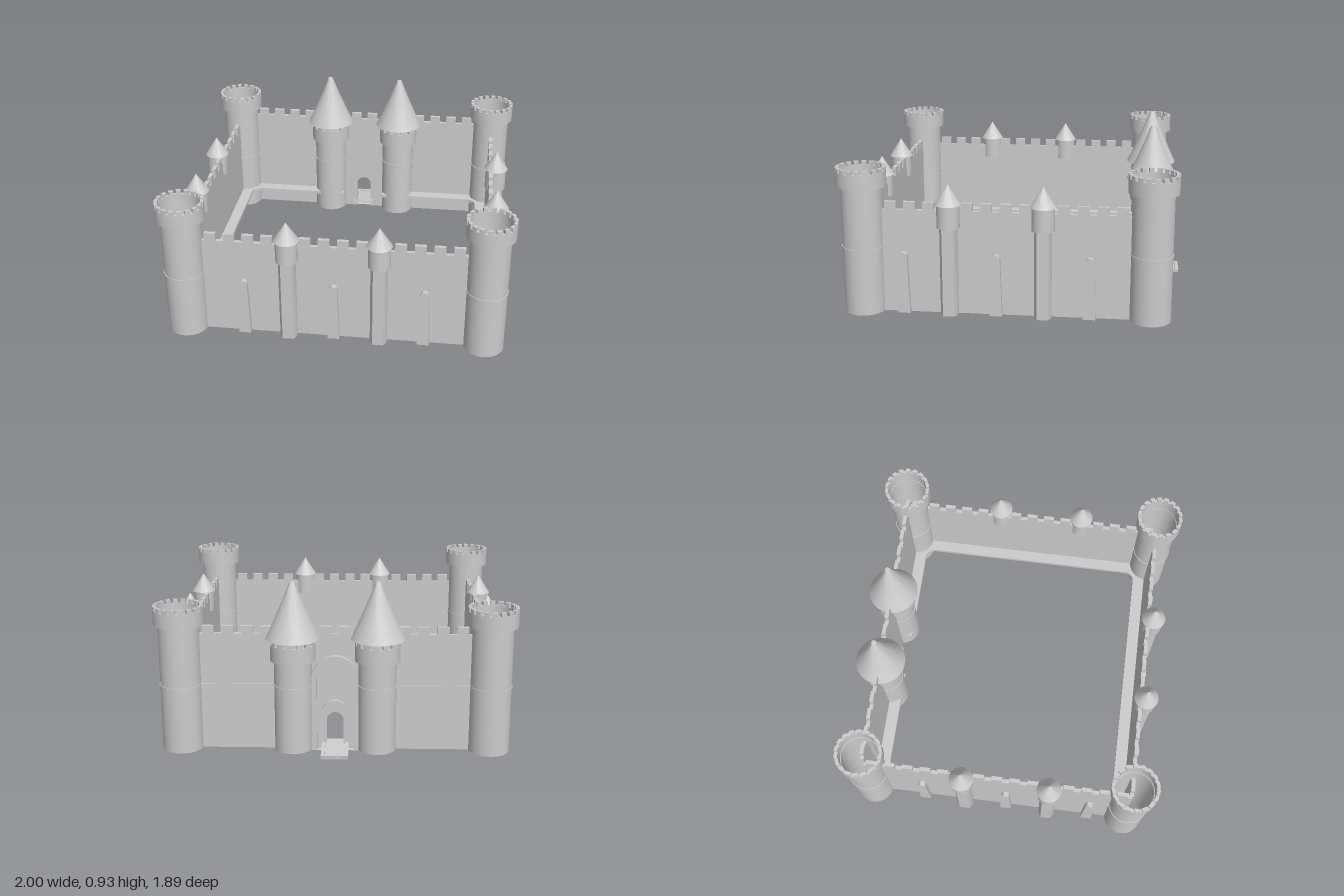
import * as THREE from 'three';
import { toCreasedNormals } from 'three/addons/utils/BufferGeometryUtils.js';

const material = new THREE.MeshStandardMaterial({ color: 0xcccccc, side: THREE.DoubleSide });
const HALF_W = 0.828, HALF_D = 0.768, THICK = 0.022;

function add(parent, name, geometry, x = 0, y = 0, z = 0) {
  const mesh = new THREE.Mesh(toCreasedNormals(geometry, 0.6), material);
  mesh.name = name;
  mesh.position.set(x, y, z);
  parent.add(mesh);
  return mesh;
}

const lathe = (points, seg = 40) =>
  new THREE.LatheGeometry(points.map(([r, y]) => new THREE.Vector2(r, y)), seg);

const extrude = (shape, depth) =>
  new THREE.ExtrudeGeometry(shape, { depth, bevelEnabled: false, curveSegments: 12 });

// Upright arch outline standing on y = 0
function arch(path, halfWidth, top, topHalf = halfWidth) {
  const spring = top - topHalf;
  path.moveTo(-halfWidth, 0);
  path.lineTo(halfWidth, 0);
  path.lineTo(topHalf, spring);
  path.absarc(0, spring, topHalf, 0, Math.PI, false);
  path.lineTo(-halfWidth, 0);
  return path;
}

function archFrame(outer, outerTop, inner, innerTop, depth) {
  const shape = arch(new THREE.Shape(), outer, outerTop);
  shape.holes.push(arch(new THREE.Path(), inner, innerTop));
  return extrude(shape, depth);
}

// Crenellated wall slab, centred on its thickness
function wallGeometry(half, low, high, door) {
  const count = Math.round((2 * half) / 0.105);
  const step = (2 * half) / count;
  const shape = new THREE.Shape();
  shape.moveTo(-half, 0);
  if (door) {
    shape.lineTo(-0.045, 0);
    shape.lineTo(-0.045, 0.17);
    shape.absarc(0, 0.17, 0.045, Math.PI, 0, true);
    shape.lineTo(0.045, 0);
  }
  shape.lineTo(half, 0);
  for (let i = 0; i < count; i++) {
    const x = half - i * step;
    shape.lineTo(x, low);
    shape.lineTo(x - step * 0.2, low);
    shape.lineTo(x - step * 0.2, high);
    shape.lineTo(x - step * 0.8, high);
    shape.lineTo(x - step * 0.8, low);
  }
  shape.lineTo(-half, low);
  return extrude(shape, THICK).translate(0, 0, -THICK / 2);
}

// Overhanging ring topped with merlons
function crown(parent, inner, outer, bottom, rim, top, count) {
  add(parent, 'crown', lathe([[inner, bottom], [outer, bottom], [outer, rim], [inner, rim], [inner, bottom]]));
  for (let i = 0; i < count; i++) {
    const a = (i / count) * Math.PI * 2, b = a + (Math.PI * 2 / count) * 0.62;
    const shape = new THREE.Shape();
    shape.absarc(0, 0, outer, a, b, false);
    shape.absarc(0, 0, inner, b, a, true);
    add(parent, 'merlon', extrude(shape, top - rim).rotateX(-Math.PI / 2), 0, rim, 0);
  }
}

function cornerTower(x, z) {
  const tower = new THREE.Group();
  tower.name = 'cornerTower';
  tower.position.set(x, 0, z);
  add(tower, 'towerBody', lathe([[0.11, 0], [0.11, 0.7]]));
  add(tower, 'towerBand', lathe([[0.11, 0.358], [0.114, 0.358], [0.114, 0.366], [0.11, 0.366]]));
  crown(tower, 0.114, 0.133, 0.695, 0.775, 0.797, 18);
  add(tower, 'crownUnderside', new THREE.RingGeometry(0.109, 0.116, 40).rotateX(Math.PI / 2), 0, 0.695, 0);
  return tower;
}

function gateTower(x) {
  const tower = new THREE.Group();
  tower.name = 'gateTower';
  tower.position.x = x;
  add(tower, 'gateTowerBody', lathe([[0.102, 0], [0.102, 0.52]]));
  add(tower, 'gateTowerBand', lathe([[0.102, 0.358], [0.106, 0.358], [0.106, 0.366], [0.102, 0.366]]));
  crown(tower, 0.102, 0.121, 0.5, 0.59, 0.625, 14);
  add(tower, 'gateTowerRoof',
    lathe([[0, 0.62], [0.145, 0.62], [0.107, 0.7], [0.055, 0.82], [0.014, 0.925], [0, 0.928]]));
  return tower;
}

// Half-engaged turret: bevelled shaft, drum and pointed roof
function turret(x) {
  const group = new THREE.Group();
  group.name = 'turret';
  group.position.set(x, 0, 0.03);
  const section = new THREE.Shape();
  section.moveTo(-0.046, -0.03);
  section.lineTo(0.046, -0.03);
  section.lineTo(0.046, 0.012);
  section.lineTo(0.03, 0.04);
  section.lineTo(-0.03, 0.04);
  section.lineTo(-0.046, 0.012);
  add(group, 'turretShaft', extrude(section, 0.49).rotateX(Math.PI / 2), 0, 0.49, 0);
  add(group, 'turretDrum', new THREE.CylinderGeometry(0.061, 0.061, 0.13, 32), 0, 0.55, 0);
  add(group, 'turretRoof', lathe([[0, 0.61], [0.07, 0.61], [0.035, 0.665], [0, 0.72]], 32));
  return group;
}

// One wall facing local +z, with its turrets and buttresses
function wallSide(name, angle, distance, half, shift) {
  const side = new THREE.Group();
  side.name = name;
  side.rotation.y = angle;
  const face = new THREE.Group();
  face.name = name + 'Face';
  face.position.z = distance;
  side.add(face);
  add(face, 'wall', wallGeometry(half, 0.568, 0.612, false));
  for (const s of [-1, 1]) face.add(turret(shift + s * 0.25));
  for (const s of [-1, 0, 1]) {
    add(face, 'buttress', extrude(arch(new THREE.Shape(), 0.033, 0.34, 0.022), 0.035), shift + s * 0.497, 0, 0.005);
  }
  return side;
}

// Rear wall with the gatehouse, facing local +z
function gateSide() {
  const side = new THREE.Group();
  side.name = 'gateSide';
  side.rotation.y = Math.PI;
  const face = new THREE.Group();
  face.name = 'gatehouse';
  face.position.z = HALF_D;
  side.add(face);
  add(face, 'gateWall', wallGeometry(HALF_W, 0.645, 0.685, true));
  for (const s of [-1, 1]) {
    face.add(gateTower(s * 0.225));
    add(face, 'wallBand', new THREE.BoxGeometry(0.5, 0.008, 0.008), s * 0.55, 0.362, 0.013);
  }
  add(face, 'outerArch', archFrame(0.125, 0.53, 0.098, 0.5, 0.04));
  add(face, 'doorFrame', archFrame(0.072, 0.28, 0.045, 0.215, 0.03));
  // Lowered bridge: sloping deck with raised edges
  const bridge = new THREE.Group();
  bridge.name = 'drawbridge';
  bridge.position.set(0, 0.022, 0.075);
  bridge.rotation.x = 0.12;
  add(bridge, 'deck', new THREE.BoxGeometry(0.145, 0.01, 0.205));
  for (const s of [-1, 1]) {
    add(bridge, 'deckRail', new THREE.BoxGeometry(0.02, 0.012, 0.205), s * 0.0625, 0.01, 0);
  }
  add(bridge, 'deckEnd', new THREE.BoxGeometry(0.125, 0.012, 0.02), 0, 0.01, 0.092);
  face.add(bridge);
  return side;
}

// Low walkway round the inside, open at the gate
function ledgeGeometry() {
  const x = 0.755, z = 0.687, r = 0.06;
  const shape = new THREE.Shape();
  shape.moveTo(-0.13, -HALF_D);
  shape.lineTo(-HALF_W, -HALF_D);
  shape.lineTo(-HALF_W, HALF_D);
  shape.lineTo(HALF_W, HALF_D);
  shape.lineTo(HALF_W, -HALF_D);
  shape.lineTo(0.13, -HALF_D);
  shape.lineTo(0.13, -z);
  shape.lineTo(x - r, -z);
  shape.absarc(x - r, -z + r, r, -Math.PI / 2, 0, false);
  shape.absarc(x - r, z - r, r, 0, Math.PI / 2, false);
  shape.absarc(-x + r, z - r, r, Math.PI / 2, Math.PI, false);
  shape.absarc(-x + r, -z + r, r, Math.PI, Math.PI * 1.5, false);
  shape.lineTo(-0.13, -z);
  return extrude(shape, 0.02).rotateX(Math.PI / 2);
}

export function createModel() {
  const model = new THREE.Group();
  model.name = 'castle';
  const castle = new THREE.Group();
  castle.name = 'castleWalls';
  castle.rotation.y = 0.054;
  model.add(castle);
  castle.add(wallSide('frontSide', 0, HALF_D, HALF_W, 0));
  castle.add(wallSide('leftSide', Math.PI / 2, HALF_W + 0.004, HALF_D, -0.05));
  castle.add(wallSide('rightSide', -Math.PI / 2, HALF_W + 0.004, HALF_D, 0.05));
  castle.add(gateSide());
  for (const x of [-1, 1]) for (const z of [-1, 1]) castle.add(cornerTower(x * HALF_W, z * HALF_D));
  add(castle, 'innerWalkway', ledgeGeometry(), 0, 0.125, 0);
  return model;
}
